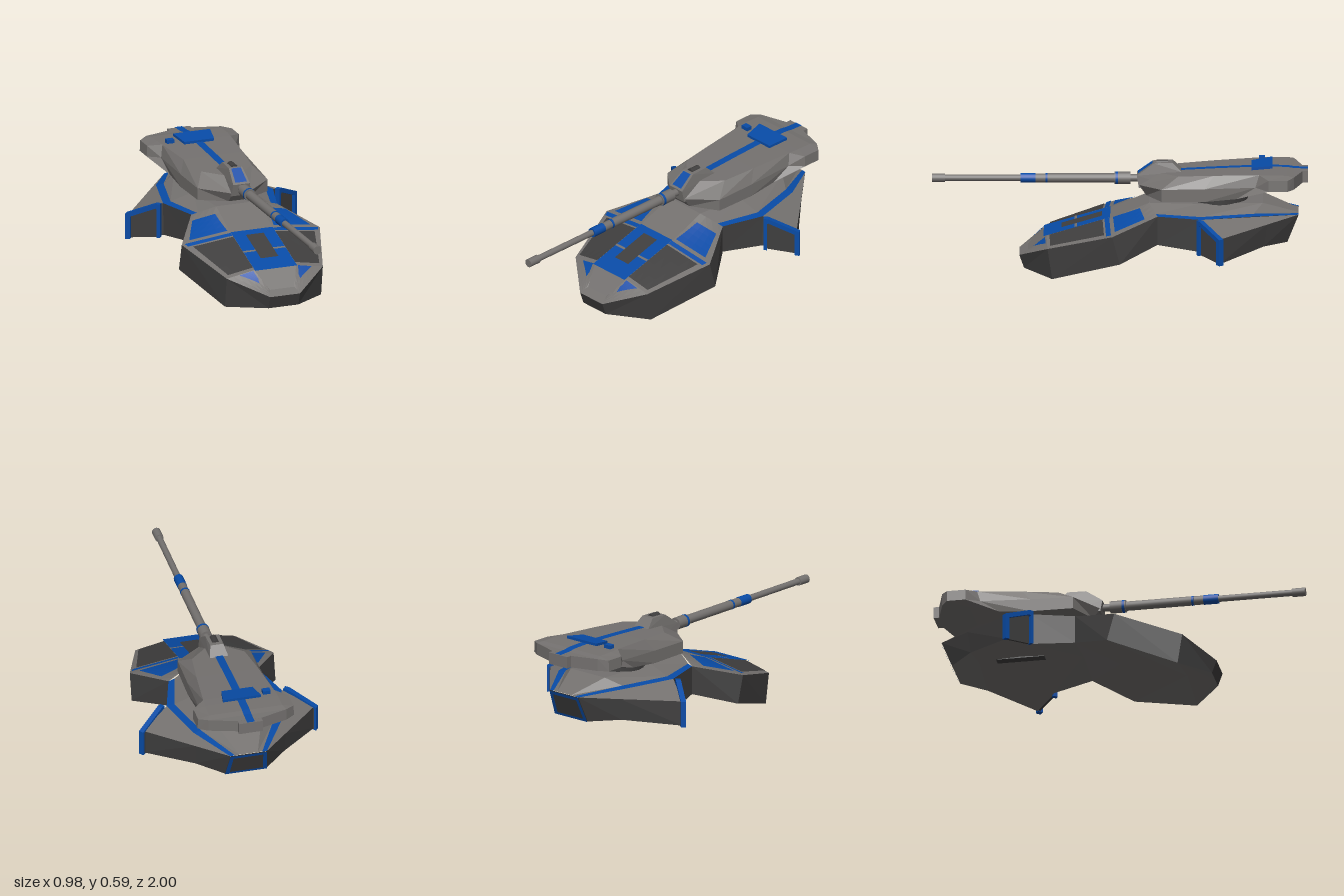
import * as THREE from 'three';
import { ConvexGeometry } from 'three/addons/geometries/ConvexGeometry.js';

const paint = (name, color) => {
  const m = new THREE.MeshStandardMaterial({ color });
  m.name = name;
  return m;
};

const V = (p) => new THREE.Vector3(...p);
const flip = (p) => [-p[0], p[1], p[2]];
const flipQuad = ([a, b, c, d]) => [a, d, c, b].map(flip);

// Flat-shaded surface from four-cornered faces
function skin(quads) {
  const pos = quads.flatMap(([a, b, c, d]) => [a, b, c, a, c, d].flat());
  const g = new THREE.BufferGeometry();
  g.setAttribute('position', new THREE.Float32BufferAttribute(pos, 3));
  g.computeVertexNormals();
  return g;
}
const both = (quads) => skin([...quads, ...quads.map(flipQuad)]);

const rect = (u0, u1, v0, v1) => [[u0, v0], [u1, v0], [u1, v1], [u0, v1]];

// Patch on a (possibly twisted) face, from four [u, v] corners, raised by lift
function patch(quad, uvs, lift = 0.006, n = 4) {
  const [a, b, c, d] = quad.map(V);
  const normal = c.clone().sub(a).cross(d.clone().sub(b)).normalize().multiplyScalar(lift);
  const mix = (p, q, t) => p + (q - p) * t;
  const at = (s, t) => {
    const [u, v] = [0, 1].map((k) =>
      mix(mix(uvs[0][k], uvs[1][k], s), mix(uvs[3][k], uvs[2][k], s), t));
    return a.clone().lerp(b, u).lerp(d.clone().lerp(c, u), v).add(normal).toArray();
  };
  const out = [];
  for (let i = 0; i < n; i++)
    for (let j = 0; j < n; j++)
      out.push(rect(i / n, (i + 1) / n, j / n, (j + 1) / n).map(([s, t]) => at(s, t)));
  return out;
}

// Side faces between two rows of points, and strips across the centre
const walls = (low, high) => low.slice(1).map((p, i) => [low[i], p, high[i + 1], high[i]]);
const across = (row) => row.slice(1).map((p, i) => [row[i], p, flip(p), flip(row[i])]);
const frontFace = (l, h) => [flip(l), l, h, flip(h)];
const rearFace = (l, h) => [l, flip(l), flip(h), h];

function mirrorGeometry(geo) {
  const g = geo.index ? geo.toNonIndexed() : geo.clone();
  g.scale(-1, 1, 1);
  const p = g.attributes.position;
  for (let i = 0; i < p.count; i += 3) {
    const b = V([p.getX(i + 1), p.getY(i + 1), p.getZ(i + 1)]);
    p.setXYZ(i + 1, p.getX(i + 2), p.getY(i + 2), p.getZ(i + 2));
    p.setXYZ(i + 2, b.x, b.y, b.z);
  }
  g.computeVertexNormals();
  return g;
}

export function createModel() {
  const grey = paint('armourGrey', 0x74716f);
  const dark = paint('darkGrey', 0x3f3e3e);
  const blue = paint('blueTrim', 0x084ba6);
  const model = new THREE.Group();
  model.name = 'hoverTank';
  const add = (name, geo, mat, parent = model) => {
    const m = new THREE.Mesh(geo, mat);
    m.name = name;
    parent.add(m);
  };

  // Hull outline on the +x side, nose to tail: upper edge, lower edge, keel, deck line
  const A = [0.085, 0.085, 0.535], B = [0.275, 0.165, 0.385], C = [0.395, 0.26, 0.04];
  const D = [0.245, 0.335, -0.2], E = [0.315, 0.335, -0.43], F = [0.24, 0.335, -0.72];
  const W = [0.468, 0.265, -0.53], K = [0.247, 0.292, -0.782], R = [0.1, 0.31, -0.95];
  const upper = [A, B, C, D, E, W, K, R];
  const lower = [[0.085, 0.015, 0.51], [0.275, 0, 0.36], [0.395, 0.11, 0], [0.245, 0.18, -0.2],
    [0.315, 0.16, -0.42], [0.468, 0.13, -0.53], [0.245, 0.172, -0.765], [0.115, 0.165, -0.89]];
  const keelY = [0.015, 0.05, 0.15, 0.21, 0.23, 0.235, 0.225, 0.165];
  const keel = lower.map((p, i) => [0, keelY[i], p[2]]);
  const deck = [[0.07, 0.11, 0.49], [0.12, 0.195, 0.39], [0.12, 0.295, 0.05], [0.12, 0.38, -0.155],
    [0.145, 0.38, -0.42], [0.12, 0.38, -0.76], [0.05, 0.312, -0.95]];
  const ledge = [[0.208, 0.34, -0.19], [0.272, 0.34, -0.43], [0.2, 0.34, -0.71], [0.075, 0.312, -0.95]];
  const frontQuads = walls([A, B, C, D], deck.slice(0, 4));
  const [nose, bay, shoulder] = frontQuads;
  const rear = rearFace(lower[7], R);

  const hull = new THREE.Group();
  hull.name = 'hull';
  model.add(hull);
  add('hullSides', both(walls(lower, upper)), dark, hull);
  add('hullEnds', skin([frontFace(lower[0], A), rear]), dark, hull);
  add('hullBottom', both(walls(keel, lower)), grey, hull);
  add('frontDeck', both(frontQuads.flatMap((q) => patch(q, rect(0, 1, 0, 1), 0))), grey, hull);
  add('rearDeck', both([...walls(ledge, deck.slice(3)), [E, W, R, F]]), grey, hull);
  add('edgeTrim', both(walls([D, E, F, R], ledge)), blue, hull);
  add('hullSpine', skin(across([A, ...deck])), grey, hull);
  add('bellySlot', new THREE.BoxGeometry(0.05, 0.02, 0.26).translate(0, 0.232, -0.54), dark, hull);

  // Deck panels
  add('frontBays', both(patch(bay, rect(0.05, 0.88, 0.13, 1))), dark, hull);
  add('bayStrips', both(patch(bay, rect(0.91, 0.985, 0.05, 1))), blue, hull);
  add('shoulderPanels', both(patch(shoulder, [[0.07, 0.15], [0.74, 0.12], [0.74, 0.85], [0.07, 0.96]])), blue, hull);
  add('nosePanels', both(patch(nose, [[0.42, 0.68], [0.96, 0.4], [0.96, 0.94], [0.6, 0.86]])), blue, hull);

  // Centre hatch
  const centre = [deck[1], deck[2], flip(deck[2]), flip(deck[1])];
  add('hatchSurround', skin(patch(centre, rect(-0.04, 1, 0, 1))), blue, hull);
  add('hatchBands', skin(patch(centre, rect(0.44, 0.48, 0, 1), 0.008)), grey, hull);
  add('hatch', skin(patch(centre, rect(0.24, 0.87, 0.29, 0.71), 0.0095)), dark, hull);

  // Blue frame on the tail
  add('rearFrame', skin([rect(0, 1, 0.87, 1), rect(0, 1, 0, 0.1), rect(0, 0.1, 0, 1), rect(0.9, 1, 0, 1)]
    .flatMap((r) => patch(rear, r, 0.005))), blue, hull);

  // Wing shields: upturned U frame with a dark plate inside
  const place = (geo) => geo.rotateY(Math.atan2(0.12, 0.147)).translate(0.325, 0, -0.428);
  const solid = (pts, depth) => place(new THREE.ExtrudeGeometry(
    new THREE.Shape(pts.map((p) => new THREE.Vector2(...p))), { depth, bevelEnabled: false }));
  const frame = solid([[0, 0.15], [0, 0.338], [0.025, 0.338], [0.193, 0.268], [0.193, 0.125],
    [0.166, 0.128], [0.166, 0.253], [0.025, 0.312], [0.018, 0.306], [0.018, 0.147]], 0.028);
  const plate = solid([[0.01, 0.15], [0.01, 0.32], [0.18, 0.26], [0.18, 0.13]], 0.012);
  for (const [side, fix] of [['left', (g) => g], ['right', mirrorGeometry]]) {
    add(side + 'WingFrame', fix(frame), blue);
    add(side + 'WingPlate', fix(plate), dark);
  }

  // Turret ring
  add('turretRing', new THREE.CylinderGeometry(0.155, 0.155, 0.05, 24).translate(0, 0.395, -0.525), dark);

  // Turret body from three rows of points
  const turret = new THREE.Group();
  turret.name = 'turret';
  model.add(turret);
  const low = [[0.055, 0.405, -0.14], [0.2, 0.405, -0.22], [0.205, 0.405, -0.45], [0.2, 0.42, -0.62],
    [0.2, 0.46, -0.78], [0.2, 0.475, -0.86], [0.18, 0.475, -0.92], [0.065, 0.475, -0.97]];
  const mid = [[0.05, 0.46, -0.1], [0.2, 0.47, -0.22], [0.205, 0.475, -0.45], [0.21, 0.485, -0.72],
    [0.265, 0.476, -0.79], [0.265, 0.476, -0.89], [0.215, 0.476, -0.925], [0.065, 0.476, -0.97]];
  const top = [[0.05, 0.525, -0.22], [0.145, 0.53, -0.31], [0.17, 0.54, -0.5], [0.195, 0.55, -0.74],
    [0.262, 0.535, -0.79], [0.262, 0.535, -0.89], [0.215, 0.542, -0.925], [0.065, 0.54, -0.97]];
  // Roof runs inside the rear shoulders
  const roof = [...top.slice(0, 4), [0.2, 0.55, -0.8], [0.2, 0.548, -0.89], ...top.slice(6)];
  add('turretSides', both([...walls(low, mid), ...walls(mid, top)]), grey, turret);
  add('turretShoulders', both(walls(top.slice(3, 7), roof.slice(3, 7))), grey, turret);
  add('turretRoof', skin(across(roof)), grey, turret);
  add('turretBottom', skin(across(low).map(([a, b, c, d]) => [d, c, b, a])), grey, turret);
  add('turretEnds', skin([frontFace(low[0], mid[0]), frontFace(mid[0], top[0]), rearFace(low[7], top[7])]), grey, turret);
  add('tailBlock', new THREE.BoxGeometry(0.13, 0.063, 0.035).translate(0, 0.508, -0.9825), grey, turret);

  // Roof stripe, sloping fin and sensor
  const stripe = [...roof.map(([, y, z]) => [0.021, y + 0.004, z]), [0.021, 0.543, -1]];
  add('roofStripe', skin(across(stripe)), blue, turret);
  const fin = [];
  for (const s of [-1, 1]) for (const h of [0, 0.014])
    fin.push(V([s * 0.085, 0.549 + h, -0.7]), V([s * 0.105, 0.564 + h, -0.81]));
  add('roofFin', new ConvexGeometry(fin), blue, turret);
  add('sensor', new THREE.BoxGeometry(0.042, 0.024, 0.032).translate(-0.147, 0.558, -0.755), blue, turret);

  // Gun mantlet
  const mantlet = [];
  for (const s of [-1, 1])
    for (const [x, y, z] of [[0.055, 0.445, -0.1], [0.06, 0.45, -0.3], [0.048, 0.51, -0.09],
      [0.038, 0.575, -0.18], [0.036, 0.578, -0.28], [0.05, 0.53, -0.33]])
      mantlet.push(V([s * x, y, z]));
  add('mantlet', new ConvexGeometry(mantlet), grey, turret);
  const slope = frontFace([0.048, 0.51, -0.09], [0.038, 0.575, -0.18]);
  add('mantletPanel', skin(patch(slope, rect(0.15, 0.85, 0.1, 0.95), 0.004)), blue, turret);
  add('mantletSight', new THREE.CylinderGeometry(0.02, 0.02, 0.06, 12).rotateX(Math.PI / 2)
    .translate(0, 0.568, -0.225), dark, turret);

  // Gun: sections as [name, start z, end z, radius, colour]
  const gun = new THREE.Group();
  gun.name = 'gun';
  model.add(gun);
  for (const [name, z0, z1, r, mat] of [
    ['gunNeck', -0.12, -0.05, 0.02, grey], ['gunCollar', -0.055, 0.03, 0.033, grey],
    ['collarRing', 0.01, 0.024, 0.034, blue], ['gunSleeve', 0.03, 0.385, 0.025, grey],
    ['sleeveRing', 0.385, 0.397, 0.026, blue], ['gunMiddle', 0.397, 0.45, 0.024, grey],
    ['blueSleeve', 0.45, 0.53, 0.026, blue], ['barrel', 0.53, 0.93, 0.017, grey],
    ['muzzle', 0.93, 1, 0.023, grey]])
    add(name, new THREE.CylinderGeometry(r, r, z1 - z0, 16).rotateX(Math.PI / 2)
      .translate(0, 0.486, (z0 + z1) / 2), mat, gun);

  return model;
}
